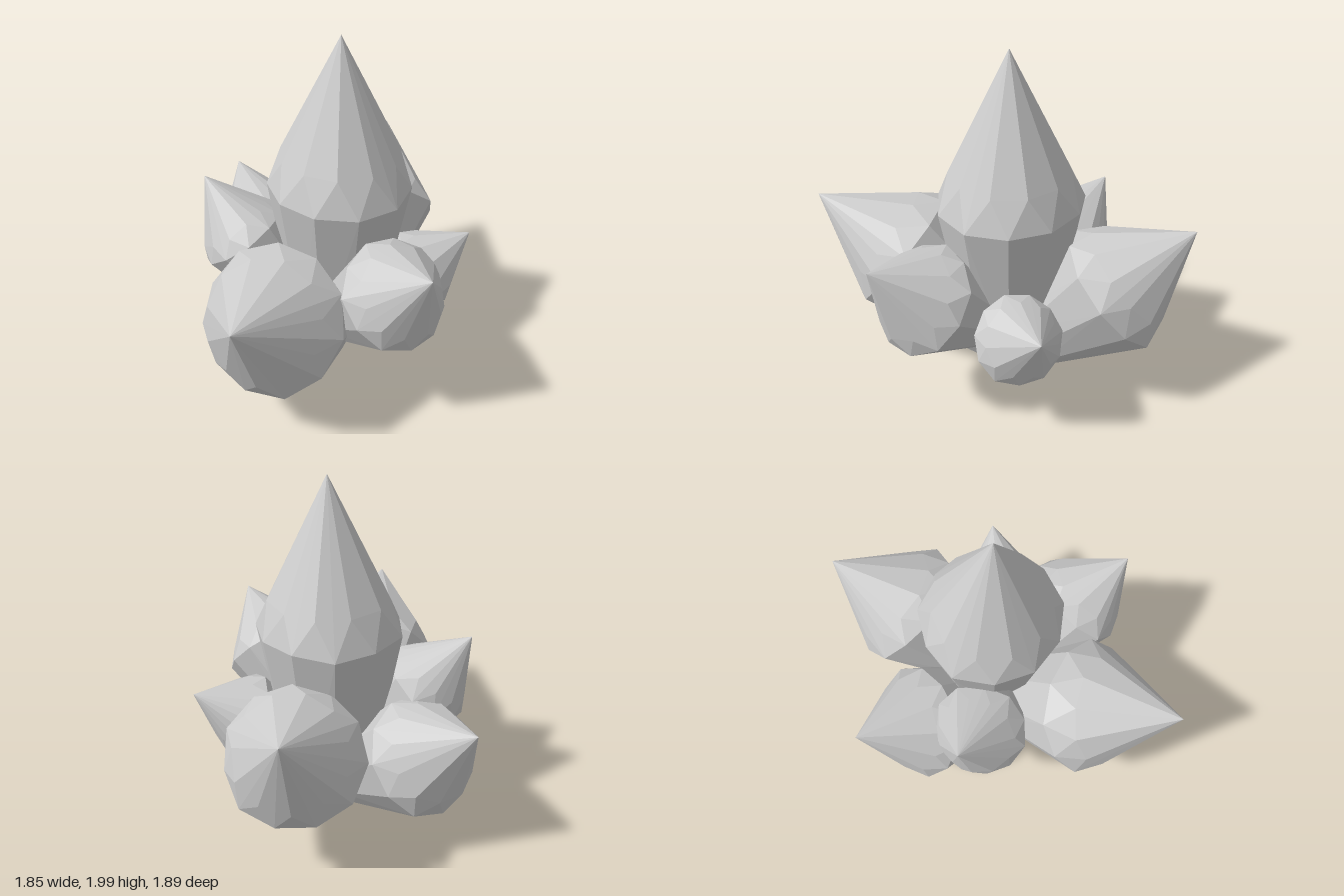
import * as THREE from 'three';
import { ConvexGeometry } from 'three/addons/geometries/ConvexGeometry.js';

// name, base centre, base radius, shoulder centre, shoulder radius, tip
const CRYSTALS = [
  ['centreCrystal', [0.04, 0.25, -0.1], 0.26, [0.045, 1.2, -0.1], 0.405, [0.055, 2.0, -0.09]],
  ['rightCrystal', [-0.09, 0.18, 0.02], 0.225, [-0.58, 0.56, 0.0], 0.34, [-0.925, 0.88, -0.04]],
  ['leftCrystal', [0.22, 0.39, -0.01], 0.18, [0.64, 0.79, -0.01], 0.305, [0.92, 1.07, 0.04]],
  ['frontCrystal', [0.03, 0.2, 0.03], 0.225, [0.3, 0.68, 0.56], 0.4, [0.58, 1.0, 0.95]],
  ['frontRightCrystal', [-0.05, 0.3, 0.06], 0.16, [-0.34, 0.78, 0.31], 0.275, [-0.54, 1.11, 0.42]],
  ['backCrystal', [-0.02, 0.3, -0.29], 0.21, [-0.23, 0.73, -0.64], 0.375, [-0.48, 1.08, -0.94]],
  ['backLeftCrystal', [0.19, 0.34, -0.19], 0.14, [0.39, 0.62, -0.48], 0.24, [0.5, 0.8, -0.72]],
];
const SIDES = 11;

function seeded(seed) {
  let s = seed;
  return () => (s = (s * 16807) % 2147483647) / 2147483647;
}

// A flared shaft, a zigzag shoulder of two staggered rings, and a pointed tip
function crystalGeometry(base, baseRadius, shoulder, radius, tip, seed) {
  const random = seeded(seed);
  const b = new THREE.Vector3(...base);
  const s = new THREE.Vector3(...shoulder);
  const t = new THREE.Vector3(...tip);
  const axis = t.clone().sub(b).normalize();
  const helper = Math.abs(axis.y) > 0.95 ? new THREE.Vector3(1, 0, 0) : new THREE.Vector3(0, 1, 0);
  const u = helper.cross(axis).normalize();
  const v = axis.clone().cross(u);
  const tipLength = t.distanceTo(s);
  const points = [t];

  const ring = (centre, r, lift, turn, jitter) => {
    for (let i = 0; i < SIDES; i++) {
      const a = ((i + turn) / SIDES) * Math.PI * 2;
      const rr = r * (1 + (random() - 0.5) * jitter);
      const along = lift + (random() - 0.5) * jitter * radius;
      points.push(centre.clone()
        .addScaledVector(u, Math.cos(a) * rr)
        .addScaledVector(v, Math.sin(a) * rr)
        .addScaledVector(axis, along));
    }
  };
  ring(b, baseRadius, 0, 0, 0);
  ring(s, radius, -0.04 * tipLength, 0, 0.06);
  ring(s, radius * 0.81, 0.18 * tipLength, 0.5, 0.05);
  return new ConvexGeometry(points);
}

export function createModel() {
  const group = new THREE.Group();
  group.name = 'crystalCluster';
  const material = new THREE.MeshStandardMaterial({ color: 0xcccccc, flatShading: true });
  CRYSTALS.forEach(([name, ...shape], i) => {
    const mesh = new THREE.Mesh(crystalGeometry(...shape, 7919 * (i + 3)), material);
    mesh.name = name;
    group.add(mesh);
  });
  return group;
}
